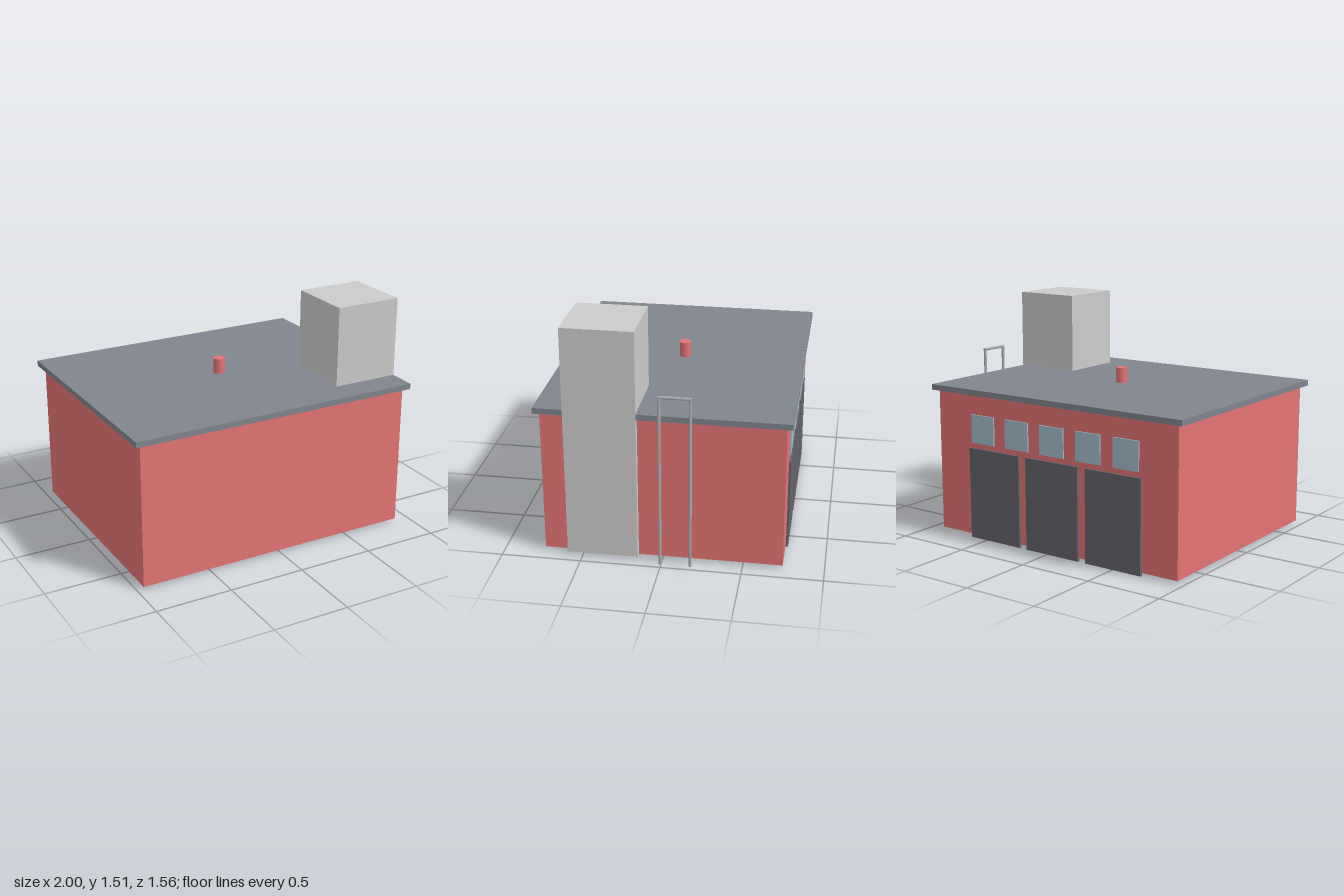
import * as THREE from 'three';

const mat = (color) => new THREE.MeshStandardMaterial({ color });

export function createModel() {
  const model = new THREE.Group();
  const brick = mat(0xe47474), slate = mat(0x81858e), concrete = mat(0xcccccc);
  const doorGrey = mat(0x65656c), glass = mat(0xa3bfcf), steel = mat(0xa9adb3);

  // Box given by its extents on each axis
  function box(name, material, [x0, x1], [y0, y1], [z0, z1]) {
    const mesh = new THREE.Mesh(new THREE.BoxGeometry(x1 - x0, y1 - y0, z1 - z0), material);
    mesh.position.set((x0 + x1) / 2, (y0 + y1) / 2, (z0 + z1) / 2);
    mesh.name = name;
    model.add(mesh);
  }

  // Upright or sideways round bar
  function bar(name, material, radius, length, sides, x, y, z) {
    const mesh = new THREE.Mesh(new THREE.CylinderGeometry(radius, radius, length, sides), material);
    mesh.position.set(x, y, z);
    mesh.name = name;
    model.add(mesh);
    return mesh;
  }

  // Main building and overhanging flat roof
  box('walls', brick, [-0.96, 0.895], [0.02, 0.955], [-0.745, 0.745]);
  box('roof', slate, [-1, 0.93], [0.953, 0.99], [-0.78, 0.78]);

  // Tower on the left side
  box('tower', concrete, [0.488, 0.932], [0.02, 1.51], [0.15, 0.595]);

  // Roof vent
  bar('roofVent', brick, 0.037, 0.1, 20, -0.035, 1.04, 0);

  // Three garage doors on the back wall
  for (let i = -1; i <= 1; i++) {
    const x = -0.036 + i * 0.465;
    box('garageDoor', doorGrey, [x - 0.204, x + 0.204], [0, 0.6], [-0.758, -0.74]);
  }

  // Row of windows above the doors
  for (let i = -2; i <= 2; i++) {
    const x = -0.036 + i * 0.279;
    box('window', glass, [x - 0.093, x + 0.093], [0.635, 0.822], [-0.754, -0.74]);
  }

  // Tall rail frame beside the left wall
  for (const z of [0, -0.186]) bar('railPost', steel, 0.0095, 1.12, 8, 0.99, 0.58, z);
  bar('railTop', steel, 0.0095, 0.2, 8, 0.99, 1.138, -0.095).rotation.x = Math.PI / 2;

  return model;
}
